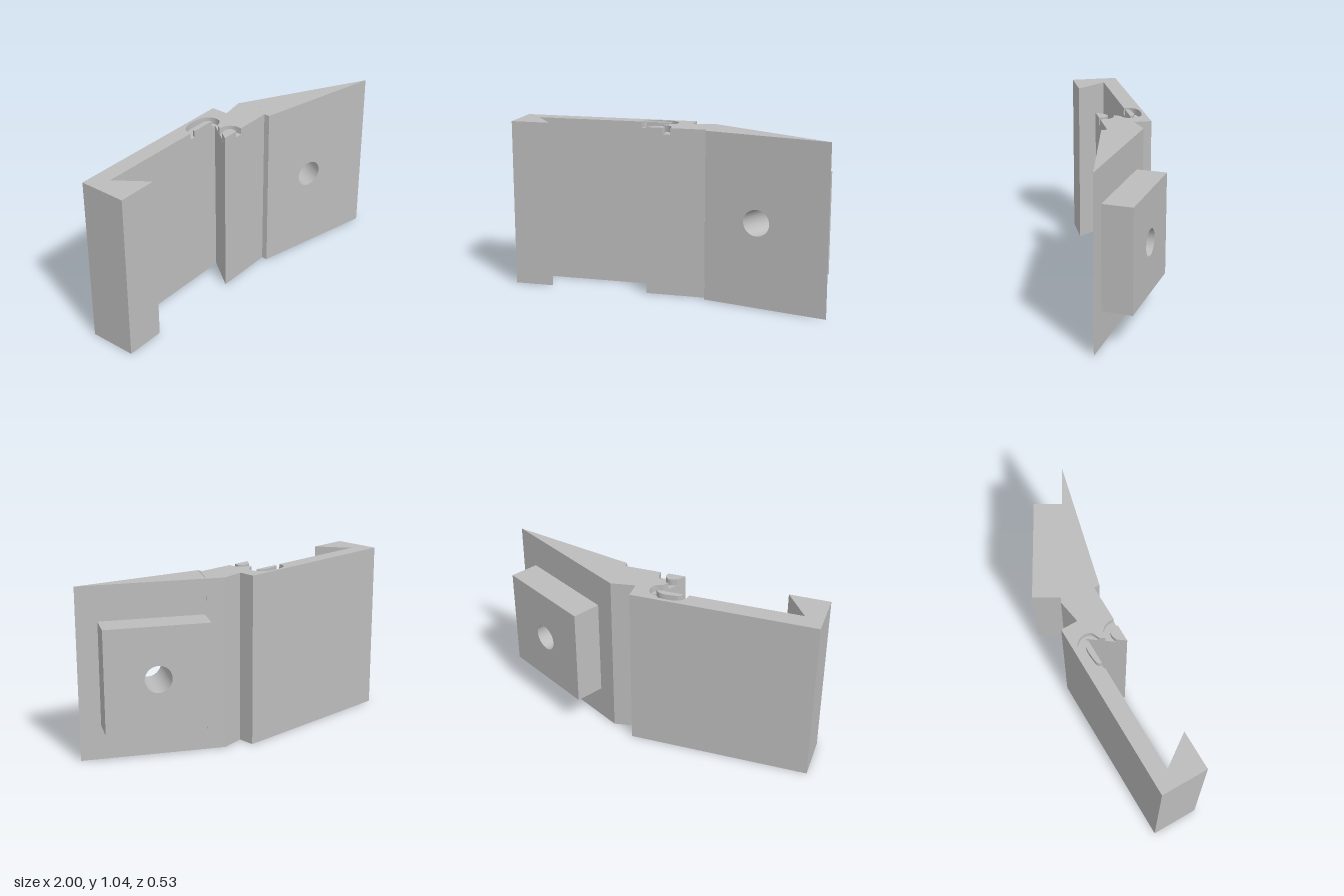
import * as THREE from 'three';
import { toCreasedNormals } from 'three/addons/utils/BufferGeometryUtils.js';

const HEIGHT = 1.04, GROOVE_FLOOR = 1.0;
const grey = new THREE.MeshStandardMaterial({ color: 0xbcbcbc });
grey.name = 'plain grey';

function addMesh(parent, name, geometry) {
  const mesh = new THREE.Mesh(toCreasedNormals(geometry, 0.5), grey);
  mesh.name = name;
  parent.add(mesh);
}

// Upright prism from a plan outline of [x, z] points
function prism(points, y0, y1) {
  const shape = new THREE.Shape(points.map(([x, z]) => new THREE.Vector2(x, -z)));
  const g = new THREE.ExtrudeGeometry(shape, { depth: y1 - y0, bevelEnabled: false });
  return g.rotateX(-Math.PI / 2).translate(0, y0, 0);
}

// Smooth run of [x, z] points through a few control points
function curve(points, n) {
  const spline = new THREE.SplineCurve(points.map(p => new THREE.Vector2(...p)));
  return spline.getPoints(n).map(p => [p.x, p.y]);
}

// Rectangle pierced by the bolt hole, extruded along the plate normal
function drilledSlab(u0, u1, y0, y1, depth) {
  const shape = new THREE.Shape([[u0, y0], [u1, y0], [u1, y1], [u0, y1]].map(p => new THREE.Vector2(...p)));
  const hole = new THREE.Path();
  hole.absarc(0.431, 0.52, 0.08, 0, Math.PI * 2, true);
  shape.holes.push(hole);
  return new THREE.ExtrudeGeometry(shape, { depth, bevelEnabled: false, curveSegments: 40 });
}

export function createModel() {
  const model = new THREE.Group();
  model.name = 'dovetailBracket';

  // Plan outline, split where the grooves cut into the dovetail edge
  const backEdge = [[-1, 0.04], [-1, -0.25], [0.105, -0.25], [0.105, -0.145], [0.25, -0.17],
    [0.3445, -0.116], [0.235, 0.075], [0.235, 0.04]];
  const slotEdge = [[-0.89, -0.15], [-0.755, 0.04]];
  addMesh(model, 'dovetailBody',
    prism([...backEdge, [-0.14, 0.04], [0, -0.15], ...slotEdge], 0, GROOVE_FLOOR));

  // Top layer with two shallow curved grooves left open to the slot
  const smallGroove = curve([[0.012, 0.04], [0.008, -0.01], [-0.02, -0.045], [-0.066, -0.06]], 14);
  const largeGroove = curve([[-0.044, -0.09], [0, -0.112], [0.013, -0.155], [0, -0.193], [-0.03, -0.219],
    [-0.08, -0.23], [-0.14, -0.23], [-0.19, -0.213], [-0.214, -0.183], [-0.22, -0.15]], 32);
  addMesh(model, 'groovedTop',
    prism([...backEdge, ...smallGroove, ...largeGroove, ...slotEdge], GROOVE_FLOOR, HEIGHT));

  // Raised islands inside the grooves
  const islands = {
    largeGrooveIsland: curve([[-0.185, -0.15], [-0.175, -0.17], [-0.145, -0.179], [-0.06, -0.181], [-0.024, -0.15]], 16),
    smallGrooveIsland: [[-0.14, 0.04],
      ...curve([[-0.102, -0.011], [-0.06, -0.02], [-0.03, 0.005], [-0.035, 0.04]], 12)],
  };
  for (const [name, points] of Object.entries(islands)) {
    addMesh(model, name, prism(points, GROOVE_FLOOR, HEIGHT));
  }

  // Slanted arm: local x runs along its back face, local z points forward
  const arm = new THREE.Group();
  arm.name = 'slantedArm';
  arm.position.set(0.25, 0, -0.17);
  arm.rotation.y = -Math.atan2(0.43, 0.75);
  model.add(arm);

  // Wedge tapering to a sharp outer edge
  const start = 0.109, tip = 0.8645;
  const wedge = drilledSlab(start, tip, 0, HEIGHT, 1);
  const pos = wedge.attributes.position;
  for (let i = 0; i < pos.count; i++) {
    if (pos.getZ(i) > 0.5) pos.setZ(i, 0.22 * (tip - pos.getX(i)) / (tip - start));
  }
  wedge.computeVertexNormals();
  addMesh(arm, 'wedge', wedge);

  // Mounting block behind the wedge
  addMesh(arm, 'mountingBlock', drilledSlab(0.122, 0.74, 0.21, 0.83, 0.18).translate(0, 0, -0.18));

  return model;
}
